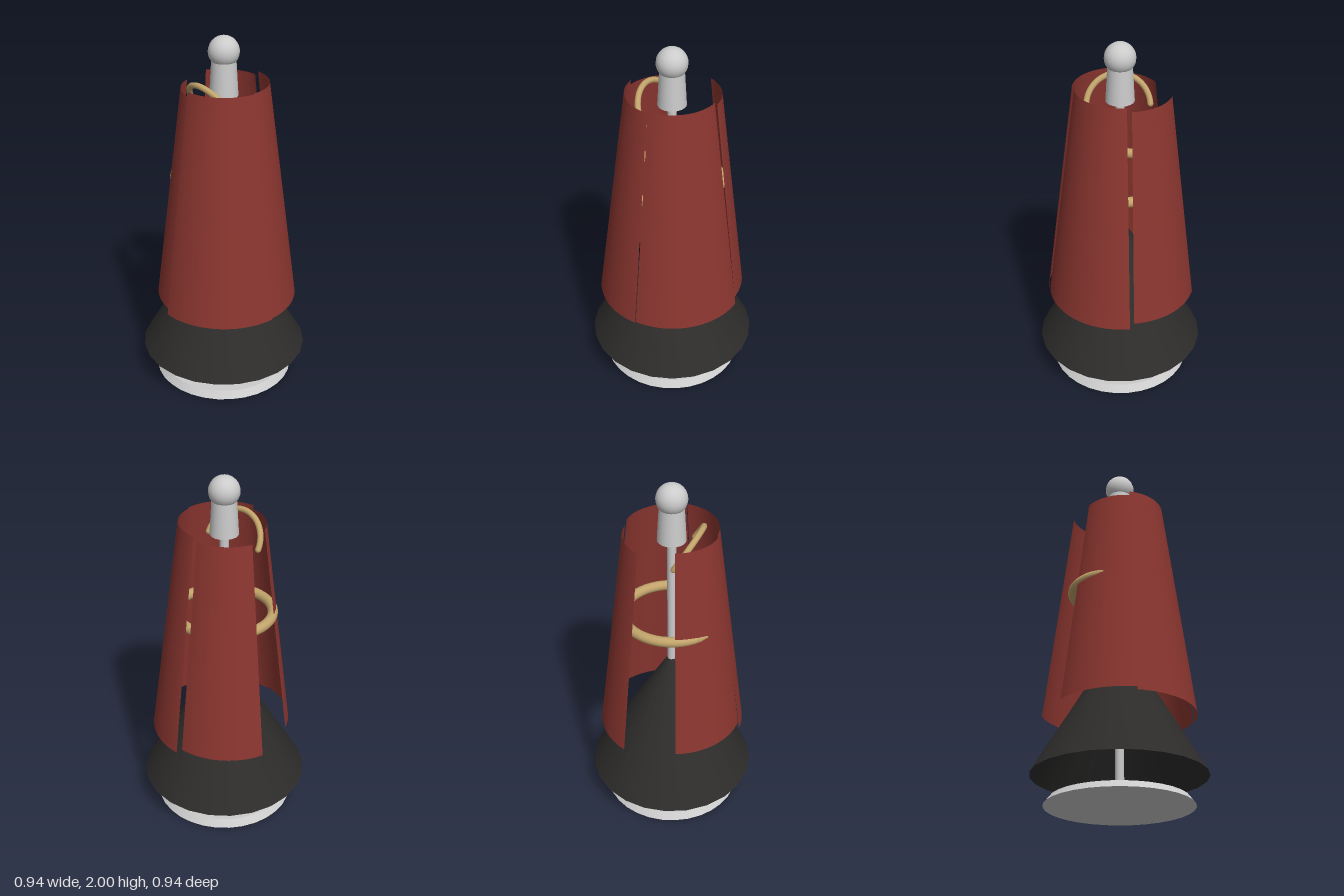
import * as THREE from 'three';

const grey = new THREE.MeshStandardMaterial({ color: 0xcccccc });
const gold = new THREE.MeshStandardMaterial({ color: 0xc2a46b });
const red = new THREE.MeshStandardMaterial({ color: 0x8c3630, side: THREE.DoubleSide });
const black = new THREE.MeshStandardMaterial({ color: 0x2d2c2b, side: THREE.DoubleSide });

export function createModel() {
  const model = new THREE.Group();
  model.name = 'model';

  const add = (name, geometry, material, x = 0, y = 0, z = 0) => {
    const mesh = new THREE.Mesh(geometry, material);
    mesh.name = name;
    mesh.position.set(x, y, z);
    model.add(mesh);
    return mesh;
  };

  // Tapered round part between two heights
  const taper = (name, rTop, rBottom, y0, y1, sides, material, open = false) =>
    add(name, new THREE.CylinderGeometry(rTop, rBottom, y1 - y0, sides, 1, open), material, 0, (y0 + y1) / 2, 0);

  // Stand and head
  taper('base', 0.365, 0.395, 0, 0.038, 32, grey);
  taper('pole', 0.024, 0.024, 0.038, 1.7, 16, grey);
  taper('neck', 0.065, 0.077, 1.68, 1.88, 20, grey);
  add('head', new THREE.SphereGeometry(0.083, 20, 14), grey, 0, 1.917, 0);

  // Flared underskirt, hollow below
  taper('underskirt', 0.025, 0.47, 0.16, 0.915, 24, black, true);

  // Thin curved panels: the two on -x are narrower, leaving an opening at the side
  const panel = (name, rTop, rBottom, y0, y1, x, start, sweep) =>
    add(name, new THREE.CylinderGeometry(rTop, rBottom, y1 - y0, 20, 1, true,
      THREE.MathUtils.degToRad(start), THREE.MathUtils.degToRad(sweep)), red, x, (y0 + y1) / 2, 0);
  panel('frontLeftPanel', 0.243, 0.41, 0.49, 1.755, 0.005, 0, 90);
  panel('backLeftPanel', 0.243, 0.413, 0.49, 1.755, -0.005, 90, 90);
  panel('backRightPanel', 0.244, 0.395, 0.512, 1.732, -0.03, 180, 69);
  panel('frontRightPanel', 0.244, 0.395, 0.512, 1.732, 0.03, 291, 69);

  // Waist ring
  const ring = add('waistRing', new THREE.TorusGeometry(0.264, 0.028, 14, 48), gold, 0, 1.22, 0);
  ring.rotation.x = Math.PI / 2;

  // Leaning half-ring collar with rounded ends
  const collar = new THREE.Group();
  collar.name = 'collar';
  collar.position.set(0, 1.615, 0.07);
  collar.rotation.x = 0.54;
  const arc = new THREE.Mesh(new THREE.TorusGeometry(0.17, 0.016, 12, 32, Math.PI), gold);
  arc.name = 'collarArc';
  collar.add(arc);
  for (const side of [-1, 1]) {
    const end = new THREE.Mesh(new THREE.SphereGeometry(0.016, 12, 8), gold);
    end.name = 'collarEnd';
    end.position.x = side * 0.17;
    collar.add(end);
  }
  model.add(collar);

  return model;
}
